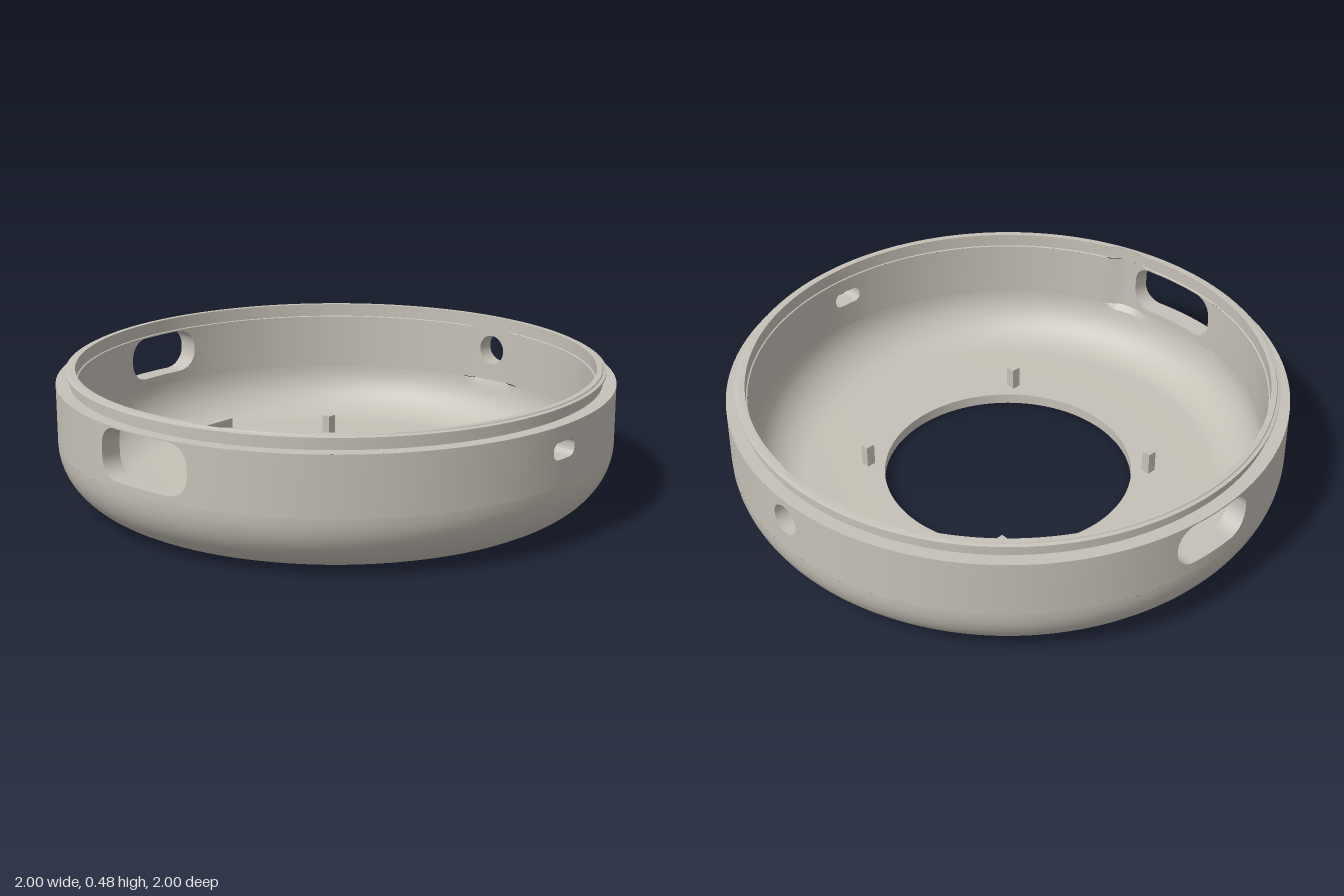
import * as THREE from 'three';
import { toCreasedNormals } from 'three/addons/utils/BufferGeometryUtils.js';

const OUTER = 1, INNER = 0.925, FLOOR = 0.04, HOLE = 0.455;
const WALL_LOW = 0.22, WALL_HIGH = 0.43, TOP = 0.48;

// Port openings: a = angle from +z towards +x, c = sideways shift, w = half width, y0..y1 = height, r = corner radius
const PORTS = [
  { a: 0, c: 0, w: 0.058, y0: 0.315, y1: 0.375, r: 0.025 },
  { a: Math.PI / 2, c: 0, w: 0.057, y0: 0.288, y1: 0.402, r: 0.057 },
  { a: Math.PI, c: 0, w: 0.165, y0: 0.262, y1: 0.425, r: 0.075 },
  { a: Math.PI * 1.5, c: 0.05, w: 0.19, y0: 0.245, y1: 0.425, r: 0.07 },
];

// Flat pockets cut into the inside of the wall behind two ports
function flatten(x, z) {
  let nx = x;
  if (x < 0 && z > -0.2 && z < 0.33) nx = Math.min(x, -0.91);
  if (x > 0 && Math.abs(z) < 0.1) nx = Math.max(x, 0.932);
  const limit = 0.945, len = Math.hypot(nx, z);
  if (nx !== x && len > limit) return [nx * limit / len, z * limit / len];
  return [nx, z];
}

function lathe(points) {
  const geo = new THREE.LatheGeometry(points.map(([x, y]) => new THREE.Vector2(x, y)), 160);
  const p = geo.attributes.position;
  for (let i = 0; i < p.count; i++) {
    const r = Math.hypot(p.getX(i), p.getZ(i));
    if (r > 0.92 && r < 0.94 && p.getY(i) > 0.2) {
      const [x, z] = flatten(p.getX(i), p.getZ(i));
      p.setX(i, x);
      p.setZ(i, z);
    }
  }
  return toCreasedNormals(geo, 0.6);
}

// Quarter round in a profile, between two angles
function arc(cx, cy, rx, ry, from, to, n = 14) {
  return Array.from({ length: n + 1 }, (_, i) => {
    const t = from + (to - from) * i / n;
    return [cx + rx * Math.cos(t), cy + ry * Math.sin(t)];
  });
}

// Upright wall as vertical columns, each split where it passes a port
function wallGeometry() {
  const cols = [];
  const add = (ao, ai, lo, hi) => {
    const [ix, iz] = flatten(INNER * Math.sin(ai), INNER * Math.cos(ai));
    cols.push({ o: [OUTER * Math.sin(ao), OUTER * Math.cos(ao)], i: [ix, iz], lo, hi });
  };
  const edge = (p, t, r) => p.a + Math.asin((p.c + t) / r);
  PORTS.forEach((p, k) => {
    const mid = (p.y0 + p.y1) / 2, n = 36;
    const at = (t, lo, hi) => add(edge(p, t, OUTER), edge(p, t, INNER), lo, hi);
    at(-p.w, mid, mid);
    for (let j = 0; j <= n; j++) {
      const t = -p.w * Math.cos(Math.PI * j / n);
      const d = Math.max(0, Math.abs(t) - (p.w - p.r));
      const cut = p.r - Math.sqrt(Math.max(0, p.r * p.r - d * d));
      at(t, p.y0 + cut, p.y1 - cut);
    }
    at(p.w, mid, mid);
    // solid wall up to the next port
    const q = PORTS[(k + 1) % PORTS.length], turn = k === PORTS.length - 1 ? 2 * Math.PI : 0;
    const m = 32;
    for (let j = 0; j <= m; j++) {
      const mix = (r) => THREE.MathUtils.lerp(edge(p, p.w, r), edge(q, -q.w, r) + turn, j / m);
      add(mix(OUTER), mix(INNER), mid, mid);
    }
  });
  const pos = [];
  const quad = (a, b, c, d) => pos.push(...a, ...b, ...c, ...a, ...c, ...d);
  const v = (q, y) => [q[0], y, q[1]];
  for (let k = 0; k + 1 < cols.length; k++) {
    const A = cols[k], B = cols[k + 1];
    const moves = Math.hypot(A.o[0] - B.o[0], A.o[1] - B.o[1]) > 1e-6;
    if (moves) {
      for (const [a0, a1, b0, b1] of [[WALL_LOW, A.lo, WALL_LOW, B.lo], [A.hi, WALL_HIGH, B.hi, WALL_HIGH]]) {
        quad(v(A.o, a0), v(B.o, b0), v(B.o, b1), v(A.o, a1));
        quad(v(B.i, b0), v(A.i, a0), v(A.i, a1), v(B.i, b1));
      }
    }
    // sides of the opening
    if (A.hi - A.lo > 1e-6 || B.hi - B.lo > 1e-6) {
      quad(v(A.o, A.lo), v(B.o, B.lo), v(B.i, B.lo), v(A.i, A.lo));
      quad(v(B.o, B.hi), v(A.o, A.hi), v(A.i, A.hi), v(B.i, B.hi));
    }
  }
  const geo = new THREE.BufferGeometry();
  geo.setAttribute('position', new THREE.Float32BufferAttribute(pos, 3));
  return toCreasedNormals(geo, 0.6);
}

export function createModel() {
  const model = new THREE.Group();
  model.name = 'roundHousing';
  const shell = new THREE.MeshStandardMaterial({ color: 0xc6c1b7 });
  shell.name = 'warm grey';
  const part = (name, geo, x = 0, y = 0, z = 0) => {
    const mesh = new THREE.Mesh(geo, shell);
    mesh.name = name;
    mesh.position.set(x, y, z);
    model.add(mesh);
  };

  // Rounded base with a central opening
  part('base', lathe([
    ...arc(INNER - 0.18, WALL_LOW, 0.18, WALL_LOW - FLOOR, 0, -Math.PI / 2),
    [HOLE, FLOOR], [HOLE, 0],
    ...arc(OUTER - 0.23, WALL_LOW, 0.23, WALL_LOW, -Math.PI / 2, 0),
  ]));

  part('wall', wallGeometry());

  // Stepped rim with a snap bead
  part('rim', lathe([
    [OUTER, WALL_HIGH], [0.952, WALL_HIGH], [0.952, 0.464], [0.964, 0.467],
    [0.964, 0.473], [0.952, 0.476], [0.95, TOP], [0.93, TOP], [0.93, 0.432], [INNER, WALL_HIGH],
  ]));

  // Locating posts and a rib on the floor
  const postHeight = 0.085;
  for (const x of [-0.366, 0.366]) {
    for (const z of [-0.366, 0.366]) {
      part('post', new THREE.BoxGeometry(0.034, postHeight, 0.034), x, FLOOR + postHeight / 2, z);
    }
  }
  part('rib', new THREE.BoxGeometry(0.16, postHeight, 0.032), 0, FLOOR + postHeight / 2, -0.632);
  return model;
}
